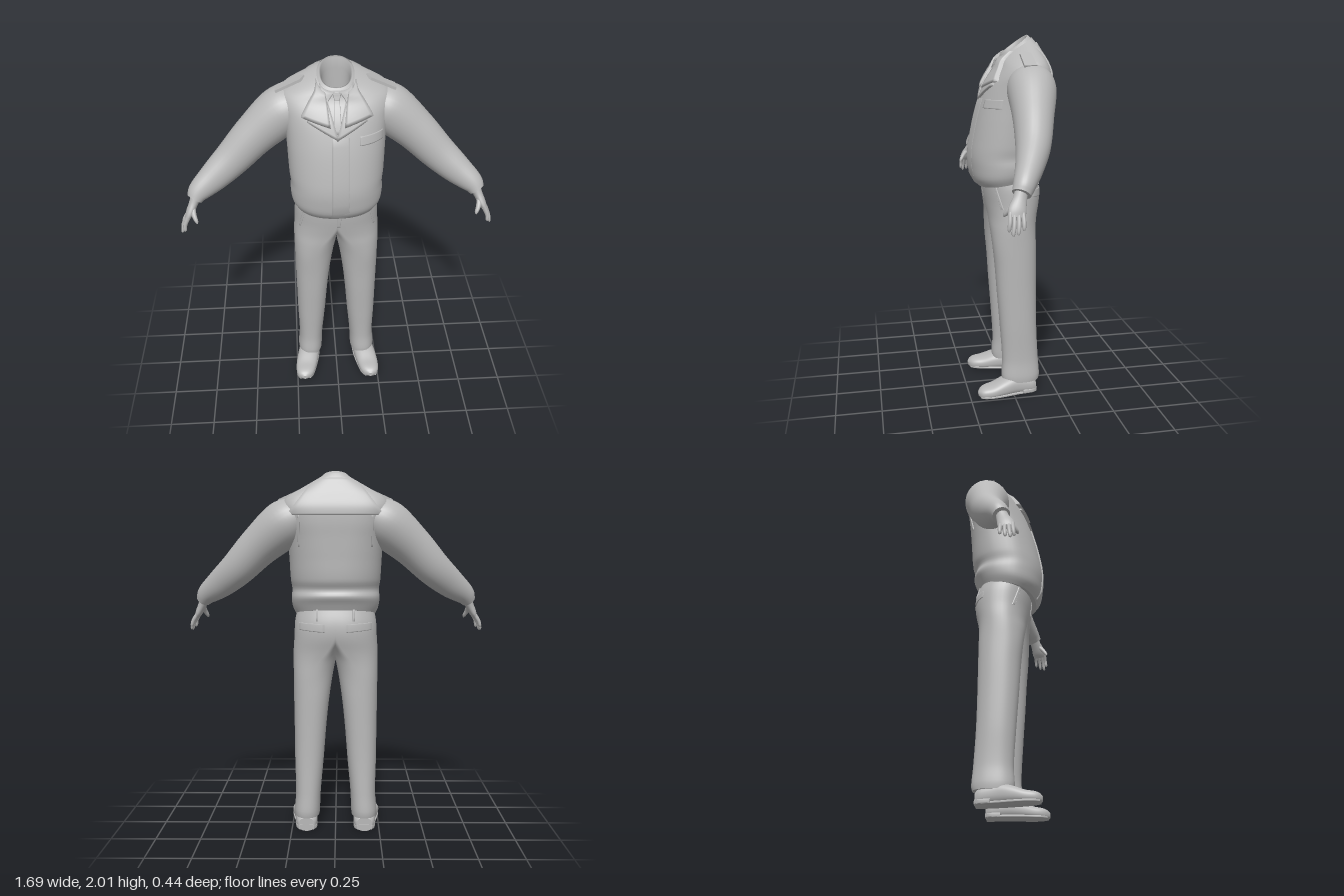
import * as THREE from 'three';

const cloth = new THREE.MeshStandardMaterial({ color: 0xb8b8b8, side: THREE.DoubleSide });
cloth.name = 'plain grey';

// Smooth lookup in a table whose first column is the key
function sample(table, key) {
  let i = 0;
  while (i < table.length - 2 && key > table[i + 1][0]) i++;
  const A = table[i], B = table[i + 1], P = table[i - 1] || A, N = table[i + 2] || B;
  const h = B[0] - A[0], t = Math.min(1, Math.max(0, (key - A[0]) / h)), t2 = t * t, t3 = t2 * t;
  return A.map((a, c) => {
    if (c === 0) return key;
    const m0 = (B[c] - P[c]) / (B[0] - P[0]) * h, m1 = (N[c] - a) / (N[0] - A[0]) * h;
    return (2 * t3 - 3 * t2 + 1) * a + (t3 - 2 * t2 + t) * m0 + (3 * t2 - 2 * t3) * B[c] + (t3 - t2) * m1;
  });
}

function samples(table, count) {
  const k0 = table[0][0], k1 = table[table.length - 1][0];
  return Array.from({ length: count + 1 }, (_, i) => sample(table, k0 + (k1 - k0) * i / count));
}

function geometry(points, index) {
  const g = new THREE.BufferGeometry().setFromPoints(points);
  g.setIndex(index);
  g.computeVertexNormals();
  return g;
}

// Skin over closed rings, with flat ends
function loft(rings, capStart = true, capEnd = true) {
  const n = rings[0].length, pts = rings.flat(), idx = [];
  for (let i = 0; i < rings.length - 1; i++) for (let j = 0; j < n; j++) {
    const a = i * n + j, b = i * n + (j + 1) % n;
    idx.push(a, a + n, b, b, a + n, b + n);
  }
  const cap = (ring, flip) => {
    const s = pts.length, mid = new THREE.Vector3();
    ring.forEach(p => { pts.push(p.clone()); mid.addScaledVector(p, 1 / n); });
    pts.push(mid);
    for (let j = 0; j < n; j++) {
      const k = s + (j + 1) % n;
      idx.push(...(flip ? [s + n, s + j, k] : [s + n, k, s + j]));
    }
  };
  if (capStart) cap(rings[0], true);
  if (capEnd) cap(rings[rings.length - 1], false);
  return geometry(pts, idx);
}

// Row: [level, centre x, half width, front z, back z, tilt, back squareness, inner half width]
function ring([s, cx, a, f, b, tilt = 0, be = 2.3, ai = a], e = 2.3, n = 48) {
  const cz = (f + b) / 2, h = (f - b) / 2;
  return Array.from({ length: n }, (_, j) => {
    const q = j / n * Math.PI * 2, c = Math.cos(q), sn = Math.sin(q), p = 2 / (sn < 0 ? Math.max(e, be) : e);
    const z = h * Math.sign(sn) * Math.abs(sn) ** p;
    return new THREE.Vector3(cx + (c > 0 ? a : -ai) * Math.abs(c) ** p, s - tilt * z, cz + z);
  });
}
const body = (table, count, e, top = true) => loft(samples(table, count).map(r => ring(r, e)), true, top);

// Tapered limb, rows [index, x, y, z, radius, depth radius]
function limb(rows, count, n = 20) {
  const c = samples(rows, count), P = c.map(r => new THREE.Vector3(r[1], r[2], r[3]));
  return loft(c.map((r, i) => {
    const d = P[Math.min(i + 1, count)].clone().sub(P[Math.max(i - 1, 0)]).normalize();
    const e1 = new THREE.Vector3(0, 0, 1).cross(d).normalize(), e2 = e1.clone().cross(d);
    return Array.from({ length: n }, (_, j) => {
      const q = j / n * Math.PI * 2;
      return P[i].clone().addScaledVector(e1, r[4] * Math.cos(q)).addScaledVector(e2, r[5] * Math.sin(q));
    });
  }));
}

// Thin panel laid over a body; corners [x, level], face = 1 front or -1 back, fade thins one side
function panel(table, corners, offset, face = 1, n = 10, fade = 0) {
  const [A, B, C, D] = corners, pts = [], idx = [], w = n + 3;
  const mix = (p, q, t) => p + (q - p) * t;
  for (let j = -1; j <= n + 1; j++) for (let i = -1; i <= n + 1; i++) {
    const u = Math.min(1, Math.max(0, i / n)), v = Math.min(1, Math.max(0, j / n));
    const rim = i < 0 || j < 0 || i > n || j > n;
    const x = mix(mix(A[0], B[0], u), mix(D[0], C[0], u), v), s = mix(mix(A[1], B[1], u), mix(D[1], C[1], u), v);
    const [, cx, a, f, b, tilt, be] = sample(table, s), e = face < 0 ? be : 2.3;
    const z = face * (f - b) / 2 * Math.max(0, 1 - Math.abs((x - cx) / a) ** e) ** (1 / e);
    const lift = rim ? -0.004 : offset * (1 - fade * u);
    pts.push(new THREE.Vector3(x, s - tilt * z, (f + b) / 2 + z + face * lift));
  }
  for (let j = 0; j < w - 1; j++) for (let i = 0; i < w - 1; i++) {
    const a = j * w + i;
    idx.push(a, a + 1, a + w, a + 1, a + w + 1, a + w);
  }
  return geometry(pts, idx);
}

function mirrored(g) {
  const m = g.clone().scale(-1, 1, 1), k = m.index.array;
  for (let i = 0; i < k.length; i += 3) [k[i], k[i + 1]] = [k[i + 1], k[i]];
  m.computeVertexNormals();
  return m;
}

const JACKET = [
  [1.228, 0, .222, .17, -.15, .2, 2.3], [1.265, 0, .24, .198, -.165, .16, 2.3], [1.32, 0, .247, .21, -.185, .08, 2.3],
  [1.365, 0, .243, .213, -.172, .03, 2.3], [1.42, 0, .25, .207, -.192, 0, 2.3], [1.55, 0, .256, .182, -.2, 0, 2.6],
  [1.65, 0, .262, .155, -.205, 0, 3], [1.74, 0, .275, .122, -.21, 0, 3.6], [1.8, 0, .288, .092, -.207, .05, 3.8],
  [1.85, 0, .27, .066, -.187, .15, 3.4], [1.89, 0, .2, .056, -.165, .3, 2.8], [1.92, 0, .13, .052, -.145, .5, 2.4],
  [1.935, 0, .095, .048, -.13, .6, 2.3]];
const LEG = [
  [.075, .163, .071, .06, -.15, 0, 2.3, .071], [.1, .163, .073, .064, -.155, 0, 2.3, .073],
  [.2, .157, .071, .058, -.148, 0, 2.3, .071], [.4, .15, .082, .07, -.138, 0, 2.3, .082],
  [.6, .143, .091, .085, -.135, 0, 2.3, .091], [.75, .136, .1, .095, -.135, 0, 2.3, .1],
  [.88, .127, .11, .107, -.135, 0, 2.3, .11], [.97, .09, .148, .115, -.139, 0, 2.3, .09],
  [1.03, .045, .192, .12, -.15, 0, 2.3, .055], [1.1, .008, .224, .132, -.168, 0, 2.3, .05],
  [1.15, 0, .23, .14, -.172, 0, 2.3, .05], [1.2, 0, .226, .145, -.166, 0, 2.3, .05],
  [1.27, 0, .21, .15, -.145, 0, 2.3, .05]];
const COLLAR = [
  [1.918, 0, .108, .054, -.138, .58], [1.945, 0, .083, .04, -.11, .73], [1.942, 0, .076, .034, -.104, .73],
  [1.9, 0, .072, .03, -.1, .6], [1.74, 0, .064, .03, -.1, .2]];
const SLEEVE = [
  [0, .2, 1.765, -.075, .105, .115], [1, .28, 1.72, -.074, .13, .126], [2, .42, 1.603, -.05, .112, .103],
  [3, .54, 1.484, -.022, .097, .087], [4, .64, 1.4, .018, .082, .07], [5, .725, 1.337, .06, .061, .055],
  [6, .757, 1.297, .082, .042, .046]];
const SHOE = [
  [-.13, .165, .045, .008, -.07], [-.11, .165, .058, .008, -.09], [-.02, .17, .064, .008, -.11],
  [.05, .182, .066, .008, -.095], [.12, .195, .062, .008, -.068], [.17, .201, .052, .006, -.058],
  [.195, .204, .035, .002, -.047], [.206, .205, .012, -.008, -.034]];

export function createModel() {
  const model = new THREE.Group();
  const add = (name, g) => {
    const m = new THREE.Mesh(g, cloth);
    m.name = name;
    model.add(m);
  };
  const pair = (name, g) => { add(name + 'Left', g); add(name + 'Right', mirrored(g)); };

  // Jacket with open neck
  add('jacketBody', body(JACKET, 48, 2.3, false));
  add('neckBand', loft(COLLAR.map(r => ring(r)), false, true));
  pair('sleeve', limb(SLEEVE, 36, 28));

  // Shirt front, tie and shirt collar
  add('shirtFront', panel(JACKET, [[-.01, 1.69], [.01, 1.69], [.07, 1.925], [-.07, 1.925]], .005));
  add('tie', panel(JACKET, [[-.02, 1.69], [.02, 1.69], [.014, 1.87], [-.014, 1.87]], .009));
  add('tieKnot', panel(JACKET, [[-.013, 1.865], [.013, 1.865], [.022, 1.925], [-.022, 1.925]], .015));
  pair('shirtCollar', panel(JACKET, [[.055, 1.83], [.065, 1.86], [.085, 1.935], [.012, 1.93]], .012));

  // Folded jacket collar and lapels
  pair('lapel', panel(JACKET, [[-.005, 1.66], [.15, 1.745], [.13, 1.84], [.045, 1.84]], .013));
  pair('collarLeaf', panel(JACKET, [[.035, 1.725], [.18, 1.77], [.1, 1.932], [.058, 1.925]], .022));

  // Overlapping front edge and chest pocket
  add('frontOverlap', panel(JACKET, [[-.035, 1.235], [.06, 1.235], [.06, 1.67], [-.03, 1.67]], .008, 1, 10, 1));
  add('chestPocketFlap', panel(JACKET, [[.115, 1.625], [.235, 1.628], [.235, 1.675], [.115, 1.67]], .004));

  // Back yoke and pleats
  add('backYoke', panel(JACKET, [[.262, 1.765], [-.262, 1.765], [-.12, 1.915], [.12, 1.915]], .008, -1, 20));
  pair('backPleat', panel(JACKET, [[.2, 1.6], [.19, 1.6], [.19, 1.77], [.2, 1.77]], .006, -1));

  // Shoulder straps with a pointed inner end
  const strap = new THREE.Shape([[-.085, 0], [-.06, -.03], [.08, -.033], [.08, .033], [-.06, .03]]
    .map(p => new THREE.Vector2(...p)));
  for (const [name, turn] of [['shoulderStrapLeft', 0], ['shoulderStrapRight', Math.PI]]) {
    const g = new THREE.ExtrudeGeometry(strap, { depth: .014, bevelEnabled: false });
    add(name, g.rotateX(Math.PI / 2).rotateZ(-.42).translate(.235, 1.886, 0).rotateY(turn).translate(0, 0, -.062));
  }

  // Trousers with pockets and fly
  pair('trouserLeg', body(LEG, 60, 2.3));
  add('fly', panel(LEG, [[-.004, 1.11], [.016, 1.11], [.025, 1.24], [-.004, 1.24]], .003, 1, 10, 1));
  pair('sidePocket', panel(LEG, [[.2, 1.09], [.21, 1.09], [.175, 1.24], [.165, 1.24]], .004));
  pair('backPocketFlap', panel(LEG, [[.2, 1.15], [.06, 1.14], [.06, 1.185], [.2, 1.19]], .004, -1));
  pair('beltLoop', panel(LEG, [[.106, 1.2], [.094, 1.2], [.094, 1.265], [.106, 1.265]], .007, -1, 3));

  // Shoes, soles and heels
  pair('shoe', body(SHOE, 28, 2.4).rotateX(Math.PI / 2));
  const sole = SHOE.slice(0, -1).map(([z, x, a]) => [z, x, a * .98, 0, -.016]);
  pair('sole', body(sole, 28, 5).rotateX(Math.PI / 2));
  const heel = [[-.133, .165, .043, 0, -.03], [-.112, .165, .058, 0, -.03], [-.05, .168, .063, 0, -.03]];
  pair('heel', body(heel, 8, 5).rotateX(Math.PI / 2));

  // Hands: palm, four fingers and thumb
  pair('palm', limb([[0, .748, 1.31, .08, .028, .032], [1, .765, 1.272, .092, .024, .034],
    [2, .787, 1.228, .108, .021, .043], [3, .802, 1.198, .113, .013, .038]], 12));
  const tips = [[.818, 1.135, .152], [.836, 1.118, .136], [.838, 1.124, .112], [.832, 1.142, .085]];
  tips.forEach(([x, y, z], i) => {
    const bz = .143 - i * .02;
    pair('finger' + (i + 1), limb([[0, .792, 1.22, bz, .013, .011],
      [1, (.8 + x) / 2 + .004, (1.215 + y) / 2, (bz + z) / 2, .011, .01],
      [2, x - .002, y + .006, z, .008, .008], [2.2, x, y, z, .003, .003]], 9, 10));
  });
  pair('thumb', limb([[0, .768, 1.265, .108, .016, .016], [1, .762, 1.232, .138, .014, .013],
    [2, .748, 1.198, .16, .009, .009], [2.2, .746, 1.19, .163, .003, .003]], 9, 10));

  return model;
}
